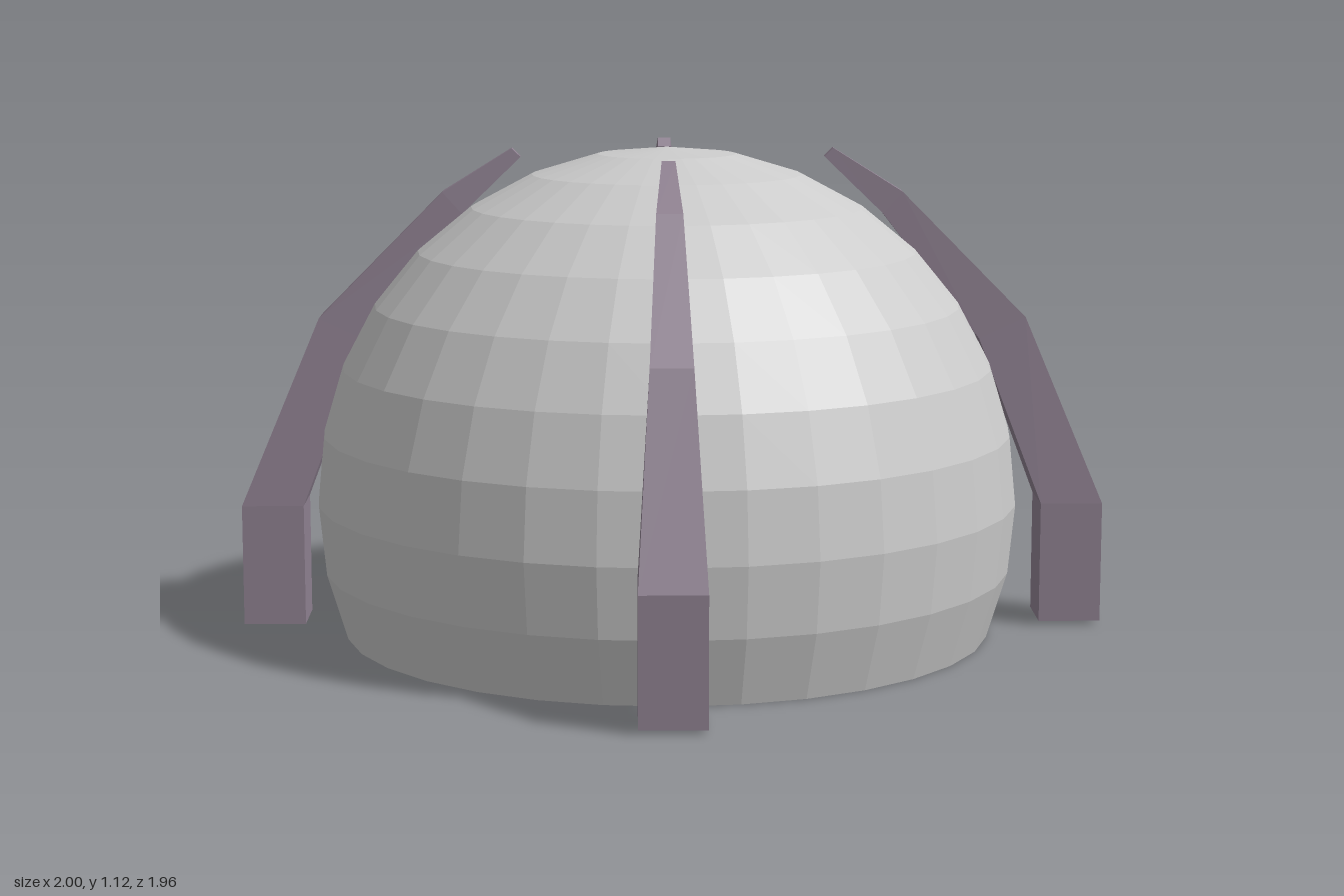
import * as THREE from 'three';

const domeMaterial = new THREE.MeshStandardMaterial({ color: 0xcccccc, flatShading: true, side: THREE.DoubleSide });
const legMaterial = new THREE.MeshStandardMaterial({ color: 0x908292, flatShading: true });

// Thin open-bottomed shell: outer arc down from the pole, inner arc back up
function domeGeometry(radius, thickness, centreY) {
  const profile = [];
  const rings = 10, step = Math.PI / 16;
  const arc = (r, i) => new THREE.Vector2(r * Math.sin(i * step), Math.max(0, centreY + r * Math.cos(i * step)));
  for (let i = 0; i <= rings; i++) profile.push(arc(radius, i));
  for (let i = rings; i >= 0; i--) profile.push(arc(radius - thickness, i));
  return new THREE.LatheGeometry(profile.reverse(), 32);
}

// Curved rib: four-cornered sections lofted from foot to tip
// Each section: outer radius, outer y, inner radius, inner y, half width
const sections = [
  [1.0, 0.01, 0.857, 0.01, 0.072],
  [1.0, 0.29, 0.857, 0.29, 0.072],
  [0.817, 0.725, 0.71, 0.675, 0.046],
  [0.53, 1.015, 0.485, 0.965, 0.029],
  [0.37, 1.115, 0.35, 1.095, 0.015],
];

function legGeometry() {
  const positions = [], index = [];
  for (const [ro, yo, ri, yi, w] of sections) {
    positions.push(ro, yo, w, ro, yo, -w, ri, yi, -w, ri, yi, w);
  }
  const quad = (a, b, c, d) => index.push(a, b, c, a, c, d);
  for (let s = 0; s < sections.length - 1; s++) {
    for (let k = 0; k < 4; k++) {
      const a = s * 4 + k, b = s * 4 + (k + 1) % 4;
      quad(a, b, b + 4, a + 4);
    }
  }
  quad(0, 3, 2, 1);
  const t = (sections.length - 1) * 4;
  quad(t, t + 1, t + 2, t + 3);
  const geometry = new THREE.BufferGeometry();
  geometry.setAttribute('position', new THREE.Float32BufferAttribute(positions, 3));
  geometry.setIndex(index);
  geometry.computeVertexNormals();
  return geometry;
}

export function createModel() {
  const model = new THREE.Group();
  model.name = 'ribbedDome';

  const dome = new THREE.Mesh(domeGeometry(0.81, 0.01, 0.31), domeMaterial);
  dome.name = 'dome';
  dome.position.set(-0.014, 0, 0.008);
  model.add(dome);

  // Four legs around the dome: name, turn about y, foot offset
  const geometry = legGeometry();
  const legs = [
    ['leftLeg', 0, 0, -0.03],
    ['rightLeg', Math.PI, 0, -0.03],
    ['frontLeg', -Math.PI / 2, -0.015, -0.022],
    ['backLeg', Math.PI / 2, -0.015, 0.02],
  ];
  for (const [name, turn, x, z] of legs) {
    const leg = new THREE.Mesh(geometry, legMaterial);
    leg.name = name;
    leg.rotation.y = turn;
    leg.position.set(x, 0, z);
    model.add(leg);
  }
  return model;
}
